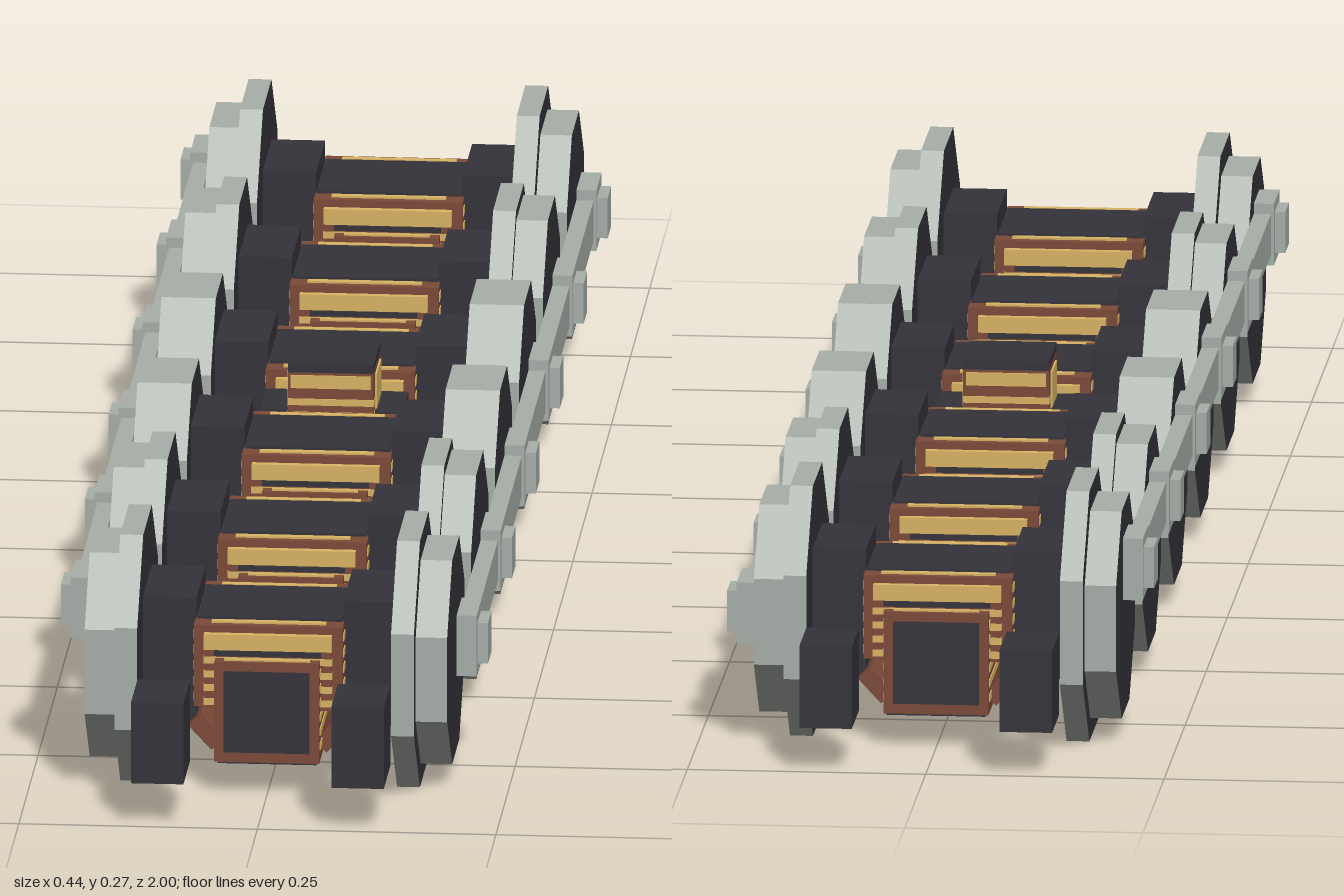
import * as THREE from 'three';

const mat = (name, color) =>
  Object.assign(new THREE.MeshStandardMaterial({ color }), { name });

export function createModel() {
  const steel = mat('steel grey', 0xa8b0a9);
  const iron = mat('dark iron', 0x34333a);
  const brown = mat('rust brown', 0x7c4a37);
  const gold = mat('brass gold', 0xdab565);

  const root = new THREE.Group();
  root.name = 'wheelTruck';

  // Box given by its min and max corners
  function box(parent, name, material, [x0, y0, z0], [x1, y1, z1]) {
    const m = new THREE.Mesh(new THREE.BoxGeometry(x1 - x0, y1 - y0, z1 - z0), material);
    m.position.set((x0 + x1) / 2, (y0 + y1) / 2, (z0 + z1) / 2);
    m.name = name;
    parent.add(m);
    return m;
  }

  // Thin brass laminations wrapped round a block of half size hx, hz
  function laminations(parent, hx, hz, y0, y1, count) {
    const pitch = (y1 - y0) / count;
    for (let i = 0; i < count; i++) {
      const y = y0 + (i + 0.25) * pitch;
      box(parent, 'lamination', gold, [-hx, y, -hz], [hx, y + pitch / 2, hz]);
    }
  }

  // Eight-sided disc lying across x: grey rim, dark faces
  function disc(parent, name, apothem, x0, x1) {
    const r = apothem / Math.cos(Math.PI / 8);
    const g = new THREE.CylinderGeometry(r, r, x1 - x0, 8, 1, false, Math.PI / 8).toNonIndexed();
    g.computeVertexNormals();
    g.rotateZ(Math.PI / 2);
    const m = new THREE.Mesh(g, [steel, iron, iron]);
    m.position.x = (x0 + x1) / 2;
    m.name = name;
    parent.add(m);
  }

  const axleY = 0.134;
  const axles = [
    { z: 0.778, flange: 0.134 }, { z: 0.466, flange: 0.122 }, { z: 0.156, flange: 0 },
    { z: -0.156, flange: 0 }, { z: -0.466, flange: 0.122 }, { z: -0.778, flange: 0.134 },
  ];

  // Motor with stepped brown and gold casing, local z = 0 at the axle
  function motor(parent) {
    const g = new THREE.Group();
    g.name = 'motor';
    parent.add(g);
    box(g, 'casing', brown, [-0.078, 0.09, -0.08], [0.078, 0.179, 0.08]);
    box(g, 'lid', iron, [-0.076, 0.175, -0.058], [0.076, 0.182, 0.058]);
    box(g, 'lowerCase', brown, [-0.055, 0.036, -0.1], [0.055, 0.145, 0.1]);
    box(g, 'bottomPlate', iron, [-0.052, 0.034, -0.098], [0.052, 0.037, 0.098]);
    box(g, 'frame', brown, [-0.067, 0.09, -0.086], [0.067, 0.17, 0.086]);
    laminations(g, 0.079, 0.074, 0.09, 0.175, 5);
    laminations(g, 0.0675, 0.0865, 0.09, 0.15, 4);
    laminations(g, 0.056, 0.094, 0.045, 0.14, 6);
    for (const s of [1, -1]) {
      const plate = (name, m, x0, y0, x1, y1, z0, z1) =>
        box(g, name, m, [x0, y0, Math.min(s * z0, s * z1)], [x1, y1, Math.max(s * z0, s * z1)]);
      plate('goldHeader', gold, -0.067, 0.154, 0.067, 0.171, 0.08, 0.088);
      plate('frameGroove', iron, -0.056, 0.148, 0.056, 0.154, 0.085, 0.089);
      plate('endPanel', iron, -0.045, 0.047, 0.045, 0.135, 0.099, 0.102);
      // Brass strips on the ledge and the casing top
      plate('ledgeStrip', gold, -0.045, 0.144, 0.045, 0.147, 0.091, 0.096);
      plate('topStrip', gold, -0.06, 0.178, 0.06, 0.181, 0.064, 0.072);
      // Slanted stay from the lower case to the casing
      const stay = box(g, 'stay', brown, [-0.018, -0.009, -0.07], [0.018, 0.009, 0.07]);
      stay.position.set(s * 0.066, 0.059, 0);
      stay.rotation.z = s * 0.82;
    }
  }

  for (const { z, flange } of axles) {
    const set = new THREE.Group();
    set.name = 'wheelset';
    set.position.z = z;
    root.add(set);
    motor(set);
    for (const s of [1, -1]) {
      const span = (a, b) => (s > 0 ? [a, b] : [-b, -a]);
      const [b0, b1] = span(0.077, 0.133);
      box(set, 'axleBox', iron, [b0, 0.067, -0.058], [b1, 0.202, 0.058]);
      const wheel = new THREE.Group();
      wheel.name = s > 0 ? 'leftWheel' : 'rightWheel';
      wheel.position.y = axleY;
      set.add(wheel);
      if (flange) disc(wheel, 'flange', flange, ...span(0.133, 0.157));
      disc(wheel, 'tread', 0.111, ...span(flange ? 0.157 : 0.133, 0.19));
    }
  }

  // Coupling rods, a quarter turn apart on the two sides
  for (const { s, y, dz } of [{ s: 1, y: 0.135, dz: -0.045 }, { s: -1, y: 0.18, dz: 0 }]) {
    const rod = new THREE.Group();
    rod.name = s > 0 ? 'leftCouplingRod' : 'rightCouplingRod';
    rod.position.set(0, y, dz);
    root.add(rod);
    const part = (name, x0, x1, h, z0, z1) =>
      box(rod, name, steel, [s > 0 ? x0 : -x1, -h, z0], [s > 0 ? x1 : -x0, h, z1]);
    part('bar', 0.19, 0.208, 0.022, -0.778, 0.778);
    for (const { z } of axles) {
      part('boss', 0.189, 0.211, 0.033, z - 0.033, z + 0.033);
      part('pin', 0.211, 0.222, 0.022, z - 0.022, z + 0.022);
    }
  }

  // Centre beam and pivot
  box(root, 'centreBeam', iron, [-0.054, 0.036, -0.1], [0.054, 0.13, 0.1]);
  box(root, 'centreBlock', iron, [-0.075, 0.09, -0.037], [0.075, 0.17, 0.037]);
  box(root, 'pivotColumn', brown, [-0.045, 0.09, -0.045], [0.045, 0.215, 0.045]);
  box(root, 'pivotFoot', brown, [-0.055, 0.09, -0.058], [0.055, 0.145, 0.058]);
  laminations(root, 0.0455, 0.046, 0.145, 0.188, 3);
  box(root, 'pivotCap', iron, [-0.045, 0.213, -0.035], [0.045, 0.223, 0.035]);
  for (const s of [1, -1]) {
    const strip = box(root, 'pivotStrip', gold, [-0.042, -0.007, -0.002], [0.042, 0.007, 0.002]);
    strip.position.set(0, 0.203, s * 0.045);
    const rim = box(root, 'pivotRim', iron, [-0.045, -0.005, -0.006], [0.045, 0.005, 0.006]);
    rim.position.set(0, 0.218, s * 0.04);
    const cheek = box(root, 'pivotCheek', gold, [-0.002, -0.02, -0.028], [0.002, 0.02, 0.028]);
    cheek.position.set(s * 0.045, 0.188, 0);
  }

  // End blocks
  for (const sx of [1, -1]) for (const sz of [1, -1]) {
    const b = box(root, 'endBlock', iron, [-0.0275, 0.047, -0.0425], [0.0275, 0.135, 0.0425]);
    b.position.x = sx * 0.105;
    b.position.z = sz * 0.9575;
  }
  return root;
}
